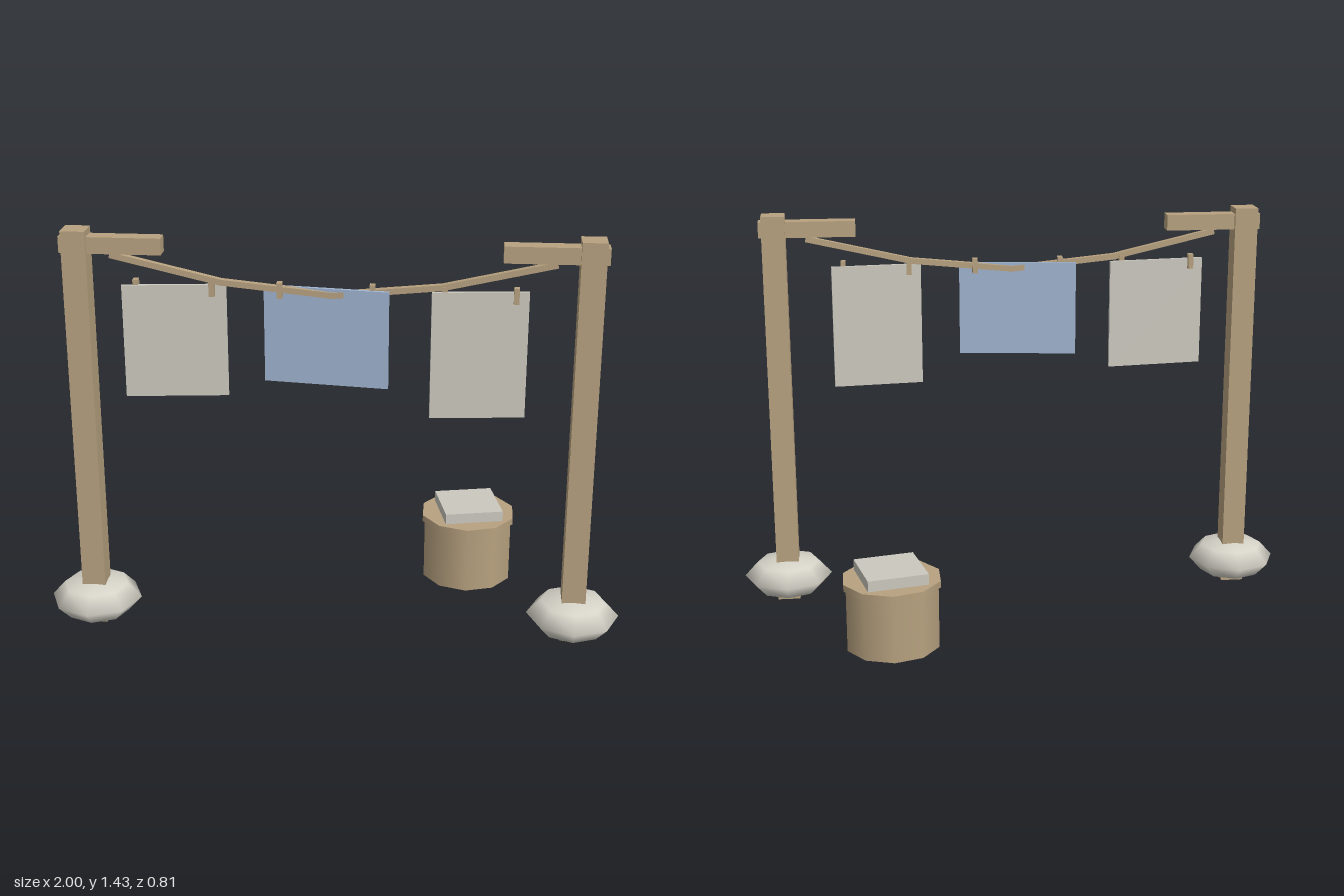
import * as THREE from 'three';

export function createModel() {
  const model = new THREE.Group();
  model.name = 'clothesline';

  const material = (name, color) => {
    const m = new THREE.MeshStandardMaterial({ color });
    m.name = name;
    return m;
  };
  const wood = material('wood', 0xb8a280);
  const linen = material('pale linen', 0xcbc8be);
  const blue = material('blue cloth', 0xa2b6d2);
  const stone = material('stone', 0xd6d3c8);

  const add = (name, geometry, mat, x, y, z) => {
    const mesh = new THREE.Mesh(geometry, mat);
    mesh.name = name;
    mesh.position.set(x, y, z);
    model.add(mesh);
    return mesh;
  };
  const box = (name, w, h, d, mat, x, y, z) =>
    add(name, new THREE.BoxGeometry(w, h, d), mat, x, y, z);

  const lineZ = 0.24;

  // Posts with inward arms and stone footings
  for (const [side, x] of [['right', -0.843], ['left', 0.838]]) {
    const s = Math.sign(x);
    box(side + 'Post', 0.082, 1.43, 0.082, wood, x, 0.715, lineZ + 0.003);
    box(side + 'Arm', 0.338, 0.056, 0.056, wood, x - s * 0.117, 1.381, lineZ + 0.003);
    const footing = add(side + 'Footing', new THREE.SphereGeometry(1, 8, 4), stone, x, 0.085, lineZ + 0.003);
    footing.scale.set(0.16, 0.073, 0.16);
  }

  // Sagging rope made of straight lengths
  const rope = [[-0.725, 1.343], [-0.367, 1.26], [0, 1.224], [0.36, 1.26], [0.72, 1.343]];
  for (let i = 0; i < rope.length - 1; i++) {
    const [x0, y0] = rope[i];
    const [x1, y1] = rope[i + 1];
    const length = Math.hypot(x1 - x0, y1 - y0) + 0.015;
    const piece = box('rope' + (i + 1), length, 0.02, 0.022, wood, (x0 + x1) / 2, (y0 + y1) / 2, lineZ);
    piece.rotation.z = Math.atan2(y1 - y0, x1 - x0);
  }

  // Hanging cloths, each slightly turned, with two pegs
  const cloths = [
    ['rightCloth', -0.524, 0.345, 0.389, 0.11, linen],
    ['middleCloth', -0.021, 0.418, 0.334, -0.12, blue],
    ['leftCloth', 0.483, 0.318, 0.436, 0.1, linen],
  ];
  for (const [name, x, w, h, turn, mat] of cloths) {
    box(name, w, h, 0.012, mat, x, 1.246 - h / 2, lineZ - 0.002).rotation.y = turn;
    for (const s of [-1, 1]) {
      box(name + 'Peg', 0.018, 0.053, 0.026, wood, x + s * w * 0.365, 1.237, lineZ);
    }
  }

  // Basket with a rim and folded cloth on top
  add('basket', new THREE.CylinderGeometry(0.167, 0.167, 0.225, 10), wood, 0.467, 0.1125, -0.226);
  add('basketRim', new THREE.CylinderGeometry(0.175, 0.175, 0.024, 10), wood, 0.467, 0.236, -0.228);
  box('foldedCloth', 0.213, 0.045, 0.213, linen, 0.469, 0.264, -0.229).rotation.y = 0.214;

  return model;
}
